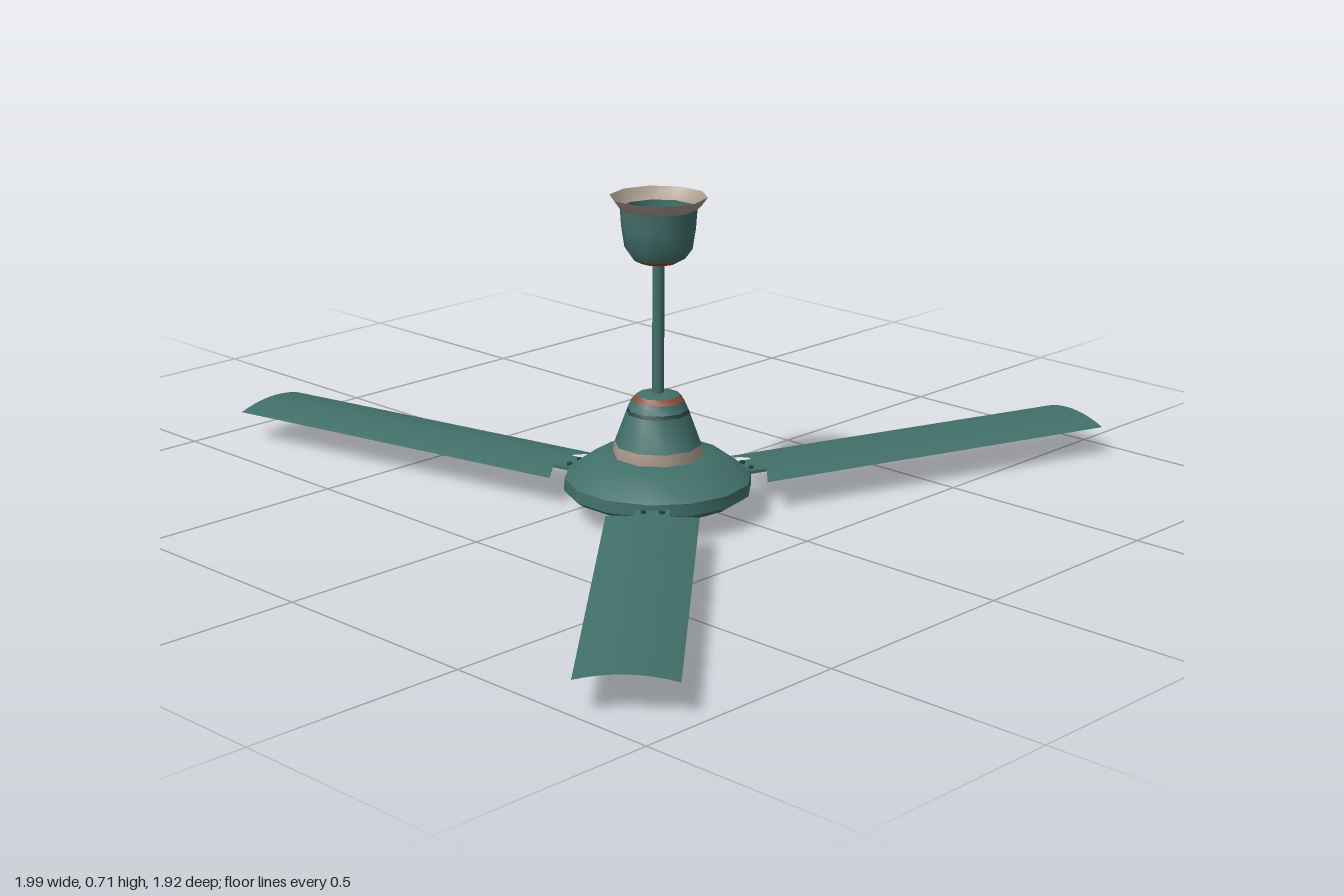
import * as THREE from 'three';
import { toCreasedNormals } from 'three/addons/utils/BufferGeometryUtils.js';

const mat = (name, color, side = THREE.FrontSide) => {
  const m = new THREE.MeshStandardMaterial({ color, side });
  m.name = name;
  return m;
};

export function createModel() {
  const teal = mat('teal', 0x42706a);
  const tealSheet = mat('tealSheet', 0x42706a, THREE.DoubleSide);
  const cream = mat('cream', 0xa89a8a, THREE.DoubleSide);
  const rust = mat('rust', 0x8a4c38, THREE.DoubleSide);
  const dark = mat('darkTeal', 0x29443f);

  const fan = new THREE.Group();
  fan.name = 'ceilingFan';
  fan.position.set(-0.095, 0, 0.147);

  const add = (name, geometry, material, parent = fan) => {
    const mesh = new THREE.Mesh(geometry, material);
    mesh.name = name;
    parent.add(mesh);
    return mesh;
  };
  // Turned part from [radius, height] pairs, bottom to top
  const turned = (name, profile, sides, material) => {
    const points = profile.map(([r, y]) => new THREE.Vector2(r, y));
    add(name, toCreasedNormals(new THREE.LatheGeometry(points, sides), 0.75), material);
  };

  // Motor housing
  turned('motorHousing', [[0, 0.003], [0.04, 0.006], [0.14, 0.03], [0.19, 0.053],
    [0.207, 0.065], [0.206, 0.092], [0.145, 0.136], [0.09, 0.143], [0, 0.143]], 14, teal);

  // Lower cover with its bands
  turned('lowerCoverBand', [[0.1, 0.14], [0.1, 0.148], [0.096, 0.167]], 10, cream);
  turned('lowerCover', [[0.096, 0.167], [0.07, 0.238]], 10, teal);
  turned('lowerCoverGroove', [[0.07, 0.238], [0.067, 0.246]], 10, dark);
  turned('lowerCoverNeck', [[0.067, 0.246], [0.058, 0.266]], 10, teal);
  turned('lowerCoverRing', [[0.058, 0.266], [0.048, 0.277]], 10, rust);
  turned('lowerCoverTop', [[0.048, 0.277], [0.03, 0.282], [0, 0.282]], 10, teal);

  // Hanging rod
  const rod = add('rod', new THREE.CylinderGeometry(0.013, 0.013, 0.32, 8), teal);
  rod.position.y = 0.43;

  // Ceiling canopy, open at the top
  turned('canopyBase', [[0, 0.573], [0.042, 0.574]], 10, tealSheet);
  turned('canopyRing', [[0.042, 0.574], [0.058, 0.583]], 10, rust);
  turned('canopyCup', [[0.058, 0.583], [0.074, 0.605], [0.081, 0.65], [0.084, 0.692]], 10, tealSheet);
  turned('canopyRim', [[0.084, 0.692], [0.092, 0.699], [0.106, 0.718]], 10, cream);

  // Blade: a cambered sheet whose root edge is swept towards the bracket
  const bladeGeometry = new THREE.PlaneGeometry(1, 0.2, 1, 10).rotateX(-Math.PI / 2);
  const p = bladeGeometry.attributes.position;
  for (let i = 0; i < p.count; i++) {
    const v = p.getZ(i);
    const root = 0.25 - Math.max(0, Math.abs(v) - 0.04) * 0.5;
    p.setX(i, p.getX(i) < 0 ? root : 1.115);
    p.setY(i, 0.085 - 0.013 * (v / 0.1) ** 2);
  }
  bladeGeometry.computeVertexNormals();

  // Three blades with brackets and bolts
  for (let k = 0; k < 3; k++) {
    const arm = new THREE.Group();
    arm.name = 'bladeArm' + (k + 1);
    arm.rotation.y = -THREE.MathUtils.degToRad(18.7 + 120 * k);
    fan.add(arm);
    add('blade', bladeGeometry, tealSheet, arm);
    add('bracket', new THREE.BoxGeometry(0.12, 0.007, 0.075), teal, arm).position.set(0.215, 0.077, 0);
    for (const s of [-1, 1]) {
      add('bolt', new THREE.CylinderGeometry(0.006, 0.006, 0.006, 6), dark, arm)
        .position.set(0.222, 0.083, s * 0.02);
    }
  }

  const model = new THREE.Group();
  model.name = 'model';
  model.add(fan);
  return model;
}
